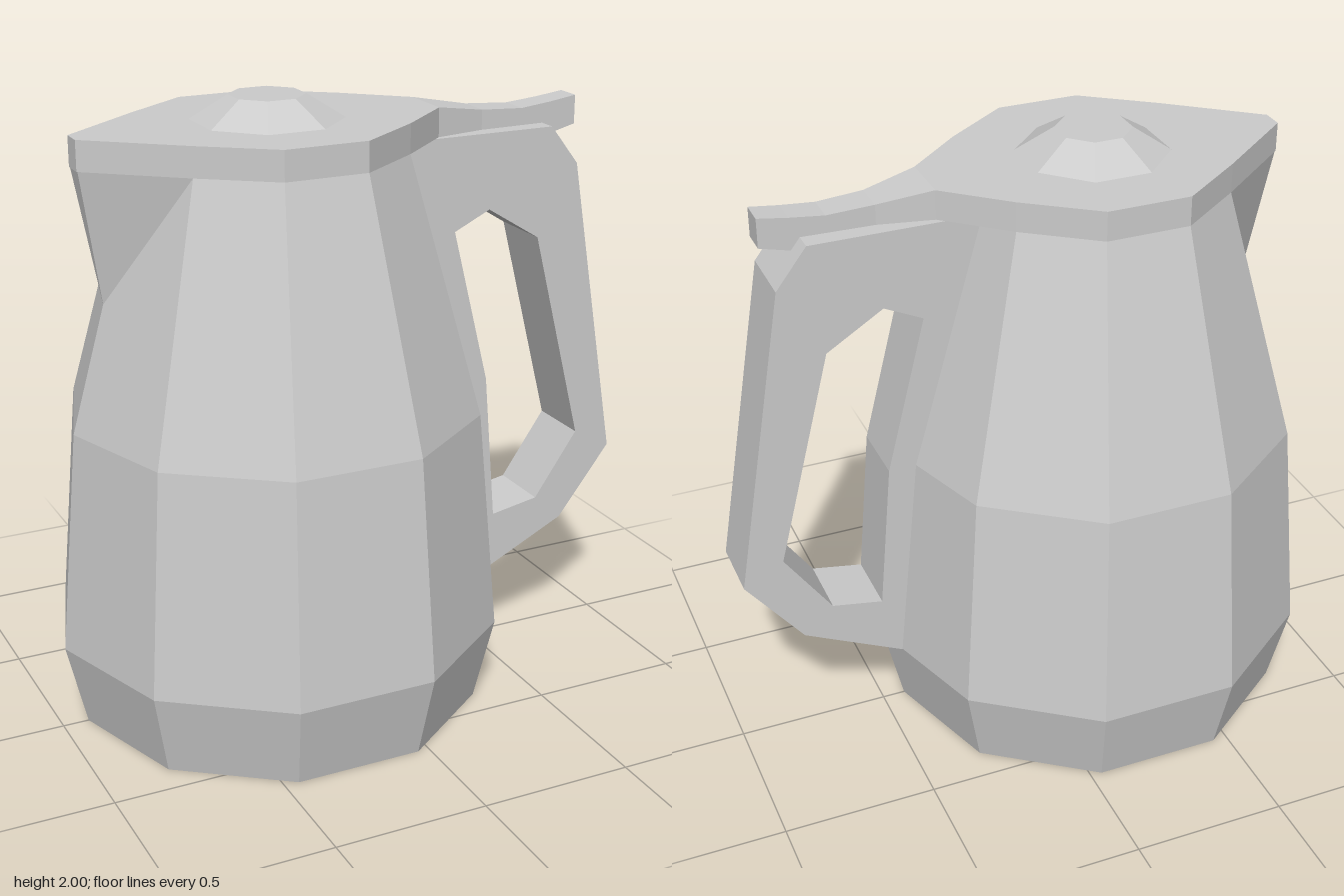
import * as THREE from 'three';
import { ConvexGeometry } from 'three/addons/geometries/ConvexGeometry.js';

const material = new THREE.MeshStandardMaterial({ color: 0xcccccc, flatShading: true });
const AXIS = -0.245; // x of the jug's vertical axis
const RIM = 1.83, LID_TOP = 1.925;

const v2 = (pts) => pts.map(([x, y]) => new THREE.Vector2(x, y));

function part(name, geometry, x = 0, y = 0, z = 0) {
  const mesh = new THREE.Mesh(geometry, material);
  mesh.name = name;
  mesh.position.set(x, y, z);
  return mesh;
}

// Closed bar through rectangular sections [x, topY, bottomY, halfWidth], running along +x
function loftBar(sections) {
  const pos = [], index = [];
  for (const [x, top, bottom, w] of sections) {
    pos.push(x, bottom, w, x, bottom, -w, x, top, -w, x, top, w);
  }
  const last = (sections.length - 1) * 4;
  for (let a = 0; a < last; a += 4) {
    for (let k = 0; k < 4; k++) {
      const p = a + k, q = a + (k + 1) % 4;
      index.push(p, q, q + 4, p, q + 4, p + 4);
    }
  }
  index.push(0, 2, 1, 0, 3, 2, last, last + 1, last + 2, last, last + 2, last + 3);
  const geo = new THREE.BufferGeometry();
  geo.setAttribute('position', new THREE.Float32BufferAttribute(pos, 3));
  geo.setIndex(index);
  geo.computeVertexNormals();
  return geo;
}

export function createModel() {
  const jug = new THREE.Group();
  jug.name = 'jug';

  // Ten-sided body
  const profile = v2([[0, 0], [0.67, 0], [0.735, 0.275], [0.67, 1], [0.436, RIM], [0, RIM]]);
  jug.add(part('body', new THREE.LatheGeometry(profile, 10, Math.PI / 2), AXIS));

  // Pouring spout, a wedge growing out of the body's corner
  const spout = [[-0.8, 1.4, 0]];
  for (const s of [1, -1]) spout.push([-0.598, RIM, 0.256 * s], [-0.872, RIM, 0.035 * s]);
  jug.add(part('spout', new ConvexGeometry(spout.map((p) => new THREE.Vector3(...p)))));

  // Handle with a cut-out grip, its inner edge following the body
  const grip = new THREE.Shape(v2([
    [0.15, RIM], [0.39, 1], [0.46, 0.28], [0.79, 0.44], [0.975, 0.68], [0.8, 1.7], [0.7, RIM],
  ]));
  grip.holes.push(new THREE.Path(v2([
    [0.35, 1.52], [0.475, 1.58], [0.66, 1.465], [0.842, 0.75], [0.69, 0.53], [0.523, 0.5], [0.48, 1],
  ])));
  const handle = new THREE.ExtrudeGeometry(grip, { depth: 0.22, bevelEnabled: false });
  jug.add(part('handle', handle, 0, 0, -0.11));

  // Lid plate, mirrored about z = 0
  const half = [[-0.875, 0.035], [-0.598, 0.256], [-0.38, 0.415], [-0.11, 0.415], [0.108, 0.256], [0.295, 0.09]];
  const outline = [...half, ...half.map(([x, z]) => [x, -z]).reverse()];
  const lid = new THREE.ExtrudeGeometry(new THREE.Shape(v2(outline)), { depth: LID_TOP - RIM, bevelEnabled: false });
  lid.rotateX(-Math.PI / 2);
  jug.add(part('lid', lid, 0, RIM));

  // Thumb tab sweeping back over the handle
  jug.add(part('thumbTab', loftBar([
    [0.295, LID_TOP, RIM, 0.09],
    [0.47, 1.895, 1.8, 0.055],
    [0.62, 1.886, 1.787, 0.05],
    [0.73, 1.897, 1.792, 0.046],
    [0.825, 1.91, 1.815, 0.043],
  ])));

  // Faceted knob
  const knob = new THREE.CylinderGeometry(0.12, 0.24, 2 - LID_TOP, 8);
  knob.rotateY(Math.PI / 8);
  jug.add(part('knob', knob, -0.252, (2 + LID_TOP) / 2));

  return jug;
}
